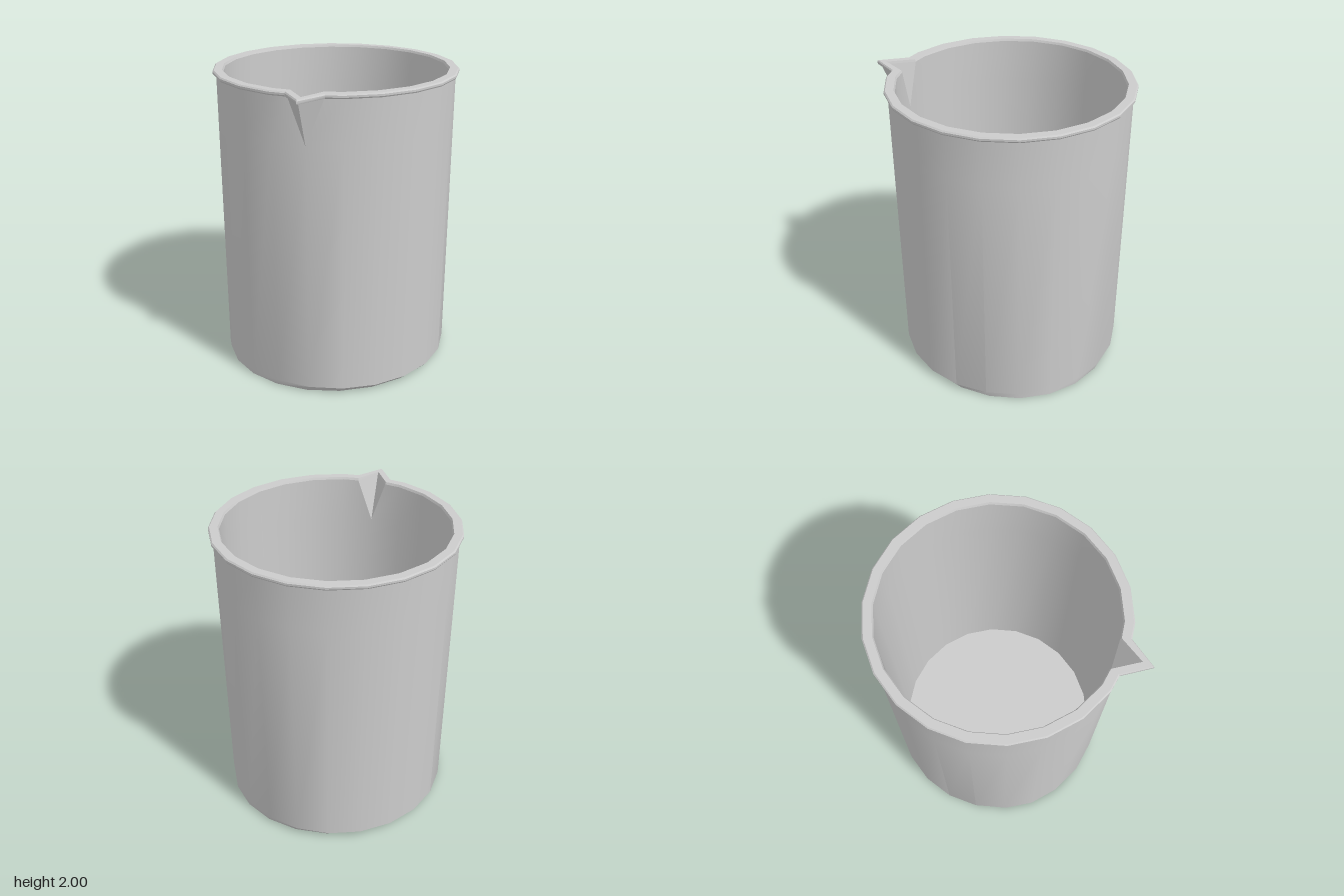
import * as THREE from 'three';
import { toCreasedNormals } from 'three/addons/utils/BufferGeometryUtils.js';

const SIDES = 22;
const SPOUT = 8; // corner that is pulled out into the spout

const corner = (k, r) => {
  const a = (k / SIDES) * Math.PI * 2;
  return new THREE.Vector2(r * Math.cos(a), r * Math.sin(a));
};

// One horizontal ring. The spout corner is tripled: edge, tip, edge.
function ring({ r, y, zScale = 1, spout = false }) {
  const pts = [];
  for (let k = 0; k < SIDES; k++) {
    const p = corner(k, r);
    if (k !== SPOUT) pts.push(p);
    else if (!spout) pts.push(p, p, p);
    else {
      const d = r - 0.735;
      const open = 0.48 + d * 0.7; // share of each neighbouring side that opens
      pts.push(
        p.clone().lerp(corner(k - 1, r), open),
        new THREE.Vector2(-0.57 - d * 0.85, 0.665 + d * 0.85),
        p.clone().lerp(corner(k + 1, r), open)
      );
    }
  }
  return pts.map((p) => new THREE.Vector3(p.x, y, p.y * zScale));
}

// Joins successive rings into a surface, skipping collapsed triangles.
function loft(name, levels, material) {
  const rings = levels.map(ring);
  const positions = [];
  const addTriangle = (a, b, c) => {
    if (new THREE.Triangle(a, b, c).getArea() < 1e-8) return;
    for (const p of [a, b, c]) positions.push(p.x, p.y, p.z);
  };
  for (let i = 0; i < rings.length - 1; i++) {
    const low = rings[i], up = rings[i + 1];
    for (let k = 0; k < low.length; k++) {
      const n = (k + 1) % low.length;
      addTriangle(low[k], up[k], low[n]);
      addTriangle(low[n], up[k], up[n]);
    }
  }
  const geometry = new THREE.BufferGeometry();
  geometry.setAttribute('position', new THREE.Float32BufferAttribute(positions, 3));
  const mesh = new THREE.Mesh(toCreasedNormals(geometry, 0.5), material);
  mesh.name = name;
  return mesh;
}

export function createModel() {
  const group = new THREE.Group();
  group.name = 'beaker';
  const material = new THREE.MeshStandardMaterial({ color: 0xcccccc, side: THREE.DoubleSide });

  // Base, bevelled towards front and back, and outer wall up to the rim
  group.add(loft('outerWall', [
    { r: 0, y: 0 },
    { r: 0.775, y: 0, zScale: 0.94 },
    { r: 0.775, y: 0.043 },
    { r: 0.775, y: 1.68 },
    { r: 0.775, y: 1.972, spout: true },
  ], material));

  // Rounded lip that follows the spout
  group.add(loft('rim', [
    { r: 0.775, y: 1.972, spout: true },
    { r: 0.793, y: 1.972, spout: true },
    { r: 0.798, y: 1.98, spout: true },
    { r: 0.798, y: 1.992, spout: true },
    { r: 0.79, y: 2, spout: true },
    { r: 0.737, y: 2, spout: true },
    { r: 0.73, y: 1.985, spout: true },
  ], material));

  // Inner wall and floor
  group.add(loft('innerWall', [
    { r: 0.73, y: 1.985, spout: true },
    { r: 0.728, y: 1.7 },
    { r: 0.724, y: 0.045, zScale: 0.985 },
    { r: 0, y: 0.045 },
  ], material));

  return group;
}
